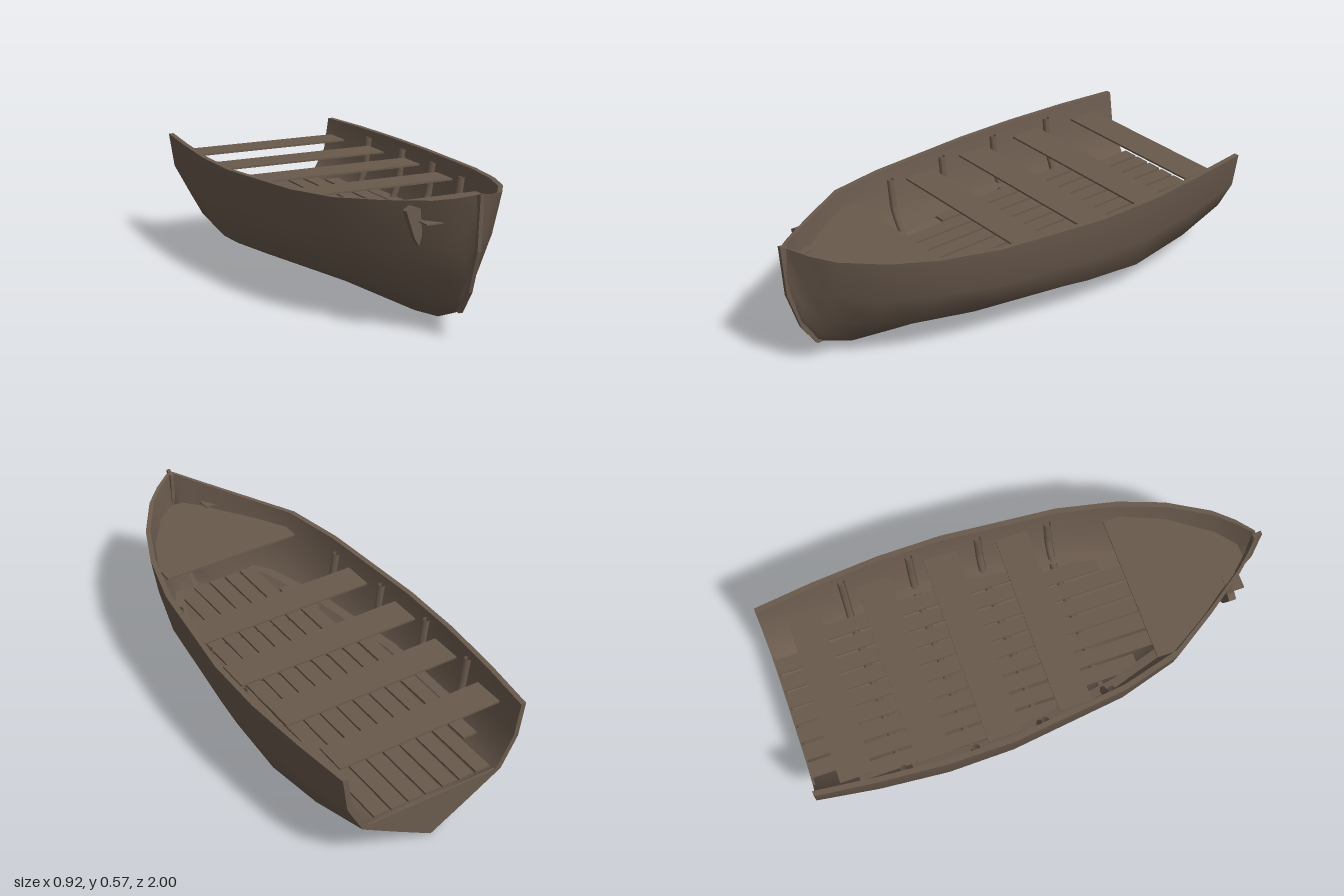
import * as THREE from 'three';

const wood = new THREE.MeshStandardMaterial({ color: 0x6a5a4d, side: THREE.DoubleSide });
wood.name = 'weathered wood';

// Hull stations: z, keel y, then half-section points (x, y) from bilge to gunwale
const STATIONS = [
  [-1.0, 0.01, [0.16, 0.1], [0.315, 0.19], [0.385, 0.32], [0.408, 0.468]],
  [-0.75, 0.007, [0.25, 0.09], [0.355, 0.15], [0.415, 0.29], [0.438, 0.468]],
  [-0.47, 0.005, [0.31, 0.08], [0.37, 0.118], [0.437, 0.275], [0.46, 0.466]],
  [-0.2, 0.003, [0.3, 0.1], [0.37, 0.145], [0.437, 0.285], [0.46, 0.468]],
  [0.28, 0.01, [0.24, 0.125], [0.32, 0.195], [0.385, 0.31], [0.41, 0.485]],
  [0.52, 0.014, [0.15, 0.12], [0.25, 0.2], [0.32, 0.33], [0.35, 0.5]],
  [0.7, 0.04, [0.075, 0.12], [0.15, 0.19], [0.23, 0.33], [0.275, 0.515]],
  [0.86, 0.105, [0.03, 0.15], [0.06, 0.22], [0.12, 0.36], [0.17, 0.535]],
  [0.93, 0.21, [0.018, 0.25], [0.03, 0.31], [0.05, 0.41], [0.095, 0.552]],
  [0.98, 0.36, [0.006, 0.4], [0.009, 0.45], [0.012, 0.5], [0.02, 0.57]],
];
const SKIN = 0.022;

// The right bow is slightly flatter than the left
const pinch = (z) => 1 - 0.8 * Math.max(0, z - 0.52);

// Half section, keel to gunwale, for the outer or inner face of the planking
function half(st, inner) {
  const pts = [[0, st[1]], ...st.slice(2)];
  if (!inner) return pts;
  return pts.map(([x, y], i) => [Math.max(x - SKIN, 0), y + 0.022 * (1 - i / 4)]);
}

// Full section from left gunwale under the keel to right gunwale
function section(st, inner) {
  const h = half(st, inner);
  const left = h.slice().reverse().map(([x, y]) => [x, y, st[0]]);
  return [...left, ...h.slice(1).map(([x, y]) => [-x * pinch(st[0]), y, st[0]])];
}

// Inner half width of the hull at a given height and station
function widthAt(y, z) {
  let k = 0;
  while (k < STATIONS.length - 2 && STATIONS[k + 1][0] < z) k++;
  const a = STATIONS[k], b = STATIONS[k + 1];
  const t = (z - a[0]) / (b[0] - a[0]);
  const hb = half(b, true);
  const h = half(a, true).map((p, i) => [p[0] + (hb[i][0] - p[0]) * t, p[1] + (hb[i][1] - p[1]) * t]);
  for (let i = 0; i < 4; i++) {
    if (y <= h[i + 1][1]) {
      const u = Math.max(0, (y - h[i][1]) / (h[i + 1][1] - h[i][1]));
      return h[i][0] + (h[i + 1][0] - h[i][0]) * u;
    }
  }
  return h[4][0];
}

// Smooth surface through equally long rows of points
function loft(rows) {
  const n = rows[0].length, index = [];
  for (let r = 0; r < rows.length - 1; r++) {
    for (let c = 0; c < n - 1; c++) {
      const a = r * n + c, b = a + n;
      index.push(a, b, a + 1, a + 1, b, b + 1);
    }
  }
  const g = new THREE.BufferGeometry();
  g.setAttribute('position', new THREE.Float32BufferAttribute(rows.flat(2), 3));
  g.setIndex(index);
  g.computeVertexNormals();
  return g;
}

// Flat outline with thickness
const slab = (pts, depth) => new THREE.ExtrudeGeometry(
  new THREE.Shape(pts.map((p) => new THREE.Vector2(...p))), { depth, bevelEnabled: false });

export function createModel() {
  const boat = new THREE.Group();
  boat.name = 'rowing boat';
  const add = (name, geometry, x = 0, y = 0, z = 0) => {
    const m = new THREE.Mesh(geometry, wood);
    m.name = name;
    m.position.set(x, y, z);
    boat.add(m);
  };
  const box = (name, x0, x1, y, h, z0, z1) =>
    add(name, new THREE.BoxGeometry(x1 - x0, h, z1 - z0), (x0 + x1) / 2, y - h / 2, (z0 + z1) / 2);

  // Hull skins, gunwales and the open stern edge
  const outer = STATIONS.map((s) => section(s, false));
  const inner = STATIONS.map((s) => section(s, true));
  add('outerHull', loft(outer));
  add('innerHull', loft(inner.map((r) => r.slice().reverse())));
  add('leftGunwale', loft(outer.map((r, i) => [inner[i][0], r[0]])));
  add('rightGunwale', loft(outer.map((r, i) => [r[8], inner[i][8]])));
  add('sternEdge', loft([inner[0], outer[0]]));

  // Stem post along the bow
  const stemGeo = slab([
    [-0.84, 0.1], [-0.865, 0.1], [-0.93, 0.195], [-0.985, 0.36], [-1, 0.577], [-0.965, 0.565], [-0.955, 0.36], [-0.9, 0.21],
  ], 0.016);
  stemGeo.translate(0, 0, -0.008).rotateY(Math.PI / 2);
  add('stemPost', stemGeo);

  // Low panel closing the stern beneath the floor
  add('sternPanel', slab([[0, 0.012], [0.16, 0.103], [0.295, 0.196], [-0.295, 0.196], [-0.16, 0.103]], 0.008), 0, 0, -0.998);

  // Floor planks, shortened where the hull narrows
  const FLOOR = 0.225;
  for (let i = -4; i <= 4; i++) {
    const x = i * 0.077, reach = Math.abs(x) + 0.032;
    let z0 = -0.995, z1 = 0.6;
    while (z1 > 0 && widthAt(FLOOR - 0.01, z1) < reach) z1 -= 0.02;
    while (z0 < -0.5 && widthAt(FLOOR - 0.01, z0) < reach) z0 += 0.02;
    box('floorPlank', x - 0.032, x + 0.032, FLOOR, 0.01, z0, z1);
  }

  // Round floor beams and side ribs
  for (const z of [-0.64, -0.35, -0.06, 0.23]) {
    const w = widthAt(FLOOR - 0.025, z);
    const beam = new THREE.CylinderGeometry(0.015, 0.015, w * 2, 8).rotateZ(Math.PI / 2);
    add('floorBeam', beam, 0, FLOOR - 0.025, z);
    for (const side of [1, -1]) {
      const pts = [0.19, 0.25, 0.31, 0.37, 0.44].map((y) =>
        new THREE.Vector3(side * (widthAt(y, z) - 0.01), y, z));
      add('sideRib', new THREE.TubeGeometry(new THREE.CatmullRomCurve3(pts), 8, 0.016, 6));
    }
  }

  // Curved edge boards where the floor meets the sides
  for (const side of [1, -1]) {
    const rows = [-0.6, -0.2, 0.1, 0.28, 0.52, 0.6].map((z) => {
      const w = widthAt(FLOOR + 0.01, z);
      return [[side * w, FLOOR + 0.01, z], [side * (w - 0.04), FLOOR + 0.004, z]];
    });
    add('floorEdgeBoard', loft(side > 0 ? rows.map((r) => r.reverse()) : rows));
  }

  // Thwarts
  const seats = [
    [-0.375, 0.345, -0.89, -0.755], [-0.4, 0.38, -0.585, -0.445],
    [-0.41, 0.4, -0.295, -0.155], [-0.385, 0.385, 0.01, 0.145],
  ];
  for (const [x0, x1, z0, z1] of seats) box('seat', x0, x1, 0.415, 0.008, z0, z1);

  // Foredeck fitted to the inside of the bow
  const DECK = 0.435;
  const rim = [0.45, 0.52, 0.6, 0.7, 0.78, 0.86, 0.93].map((z) => [Math.min(widthAt(DECK, z), 0.31), z]);
  const deckPts = [
    ...rim.map(([w, z]) => [w, -z]),
    ...rim.slice().reverse().map(([w, z]) => [-w * pinch(z), -z]),
  ];
  add('foredeck', slab(deckPts, 0.008).rotateX(-Math.PI / 2), 0, DECK - 0.008, 0);

  // Small fitting with a peg on the right bow
  const fin = [[-0.205, 0.495], [-0.18, 0.51], [-0.147, 0.5], [-0.14, 0.4], [-0.152, 0.362], [-0.17, 0.39]];
  add('bowFitting', slab(fin, 0.03), 0, 0, 0.79);
  box('bowPeg', -0.155, -0.08, 0.456, 0.005, 0.81, 0.88);

  return boat;
}
